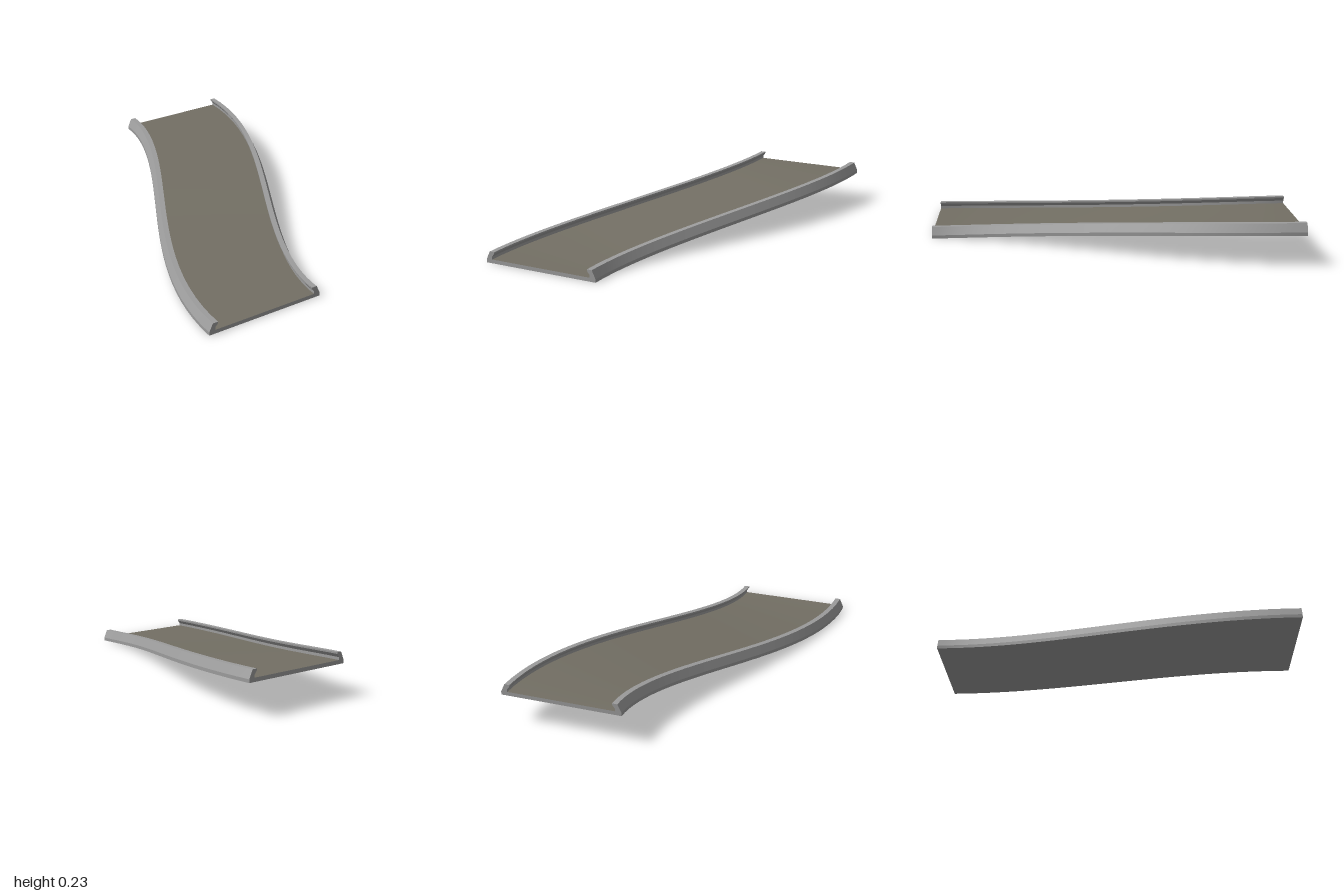
import * as THREE from 'three';

const STEPS = 32;
const RISE = 0.167;   // climb from front to back
const SHIFT = 0.667;  // sideways travel from front to back

// S-curved centre line with the section kept square to it in plan
function place(u, v, t) {
  const s = t * t * (3 - 2 * t);
  const slope = SHIFT * 6 * t * (1 - t) / 2;
  const len = Math.hypot(1, slope);
  return [
    -SHIFT / 2 + SHIFT * s + u / len,
    RISE * s + v,
    1 - 2 * t + u * slope / len,
  ];
}

function geometry(positions, index) {
  const geo = new THREE.BufferGeometry();
  geo.setAttribute('position', new THREE.Float32BufferAttribute(positions, 3));
  geo.setIndex(index);
  geo.computeVertexNormals();
  return geo;
}

// One smooth strip swept from the profile edge a-b
function strip(a, b) {
  const pos = [], idx = [];
  for (let i = 0; i <= STEPS; i++) {
    const t = i / STEPS;
    pos.push(...place(...a, t), ...place(...b, t));
    if (i < STEPS) {
      const k = i * 2;
      idx.push(k, k + 3, k + 1, k, k + 2, k + 3);
    }
  }
  return geometry(pos, idx);
}

// Flat end of the section
function cap(profile, t) {
  const pos = profile.flatMap(([u, v]) => place(u, v, t));
  const faces = THREE.ShapeUtils.triangulateShape(
    profile.map(([u, v]) => new THREE.Vector2(u, v)), []);
  const idx = faces.flatMap(([a, b, c]) => (t === 0 ? [a, b, c] : [a, c, b]));
  return geometry(pos, idx);
}

export function createModel() {
  const model = new THREE.Group();
  model.name = 'curvedRamp';
  const railGrey = new THREE.MeshStandardMaterial({ color: 0x9c9c9c, side: THREE.DoubleSide });
  railGrey.name = 'rail grey';
  const deckBrown = new THREE.MeshStandardMaterial({ color: 0x75705f, side: THREE.DoubleSide });
  deckBrown.name = 'deck brown grey';
  deckBrown.color.set(0x736f64);

  // Left rail section, from the outer bottom corner round to the deck
  const half = [
    [0.333, 0], [0.333, 0.018], [0.312, 0.063], [0.283, 0.063],
    [0.284, 0.054], [0.298, 0.036], [0.298, 0.021],
  ];
  const profile = [...half, ...half.map(([u, v]) => [-u, v]).reverse()];

  const add = (geo, material, name, parent) => {
    const mesh = new THREE.Mesh(geo, material);
    mesh.name = name;
    parent.add(mesh);
  };

  const leftRail = new THREE.Group();
  leftRail.name = 'leftRail';
  const rightRail = new THREE.Group();
  rightRail.name = 'rightRail';
  model.add(leftRail, rightRail);

  // Sweep every edge of the section
  const n = profile.length;
  profile.forEach((a, i) => {
    const geo = strip(a, profile[(i + 1) % n]);
    if (i === half.length - 1) add(geo, deckBrown, 'deck', model);
    else if (i === n - 1) add(geo, railGrey, 'underside', model);
    else add(geo, railGrey, 'railFace', i < half.length ? leftRail : rightRail);
  });

  // End faces
  add(cap(profile, 0), railGrey, 'frontEnd', model);
  add(cap(profile, 1), railGrey, 'backEnd', model);
  return model;
}
